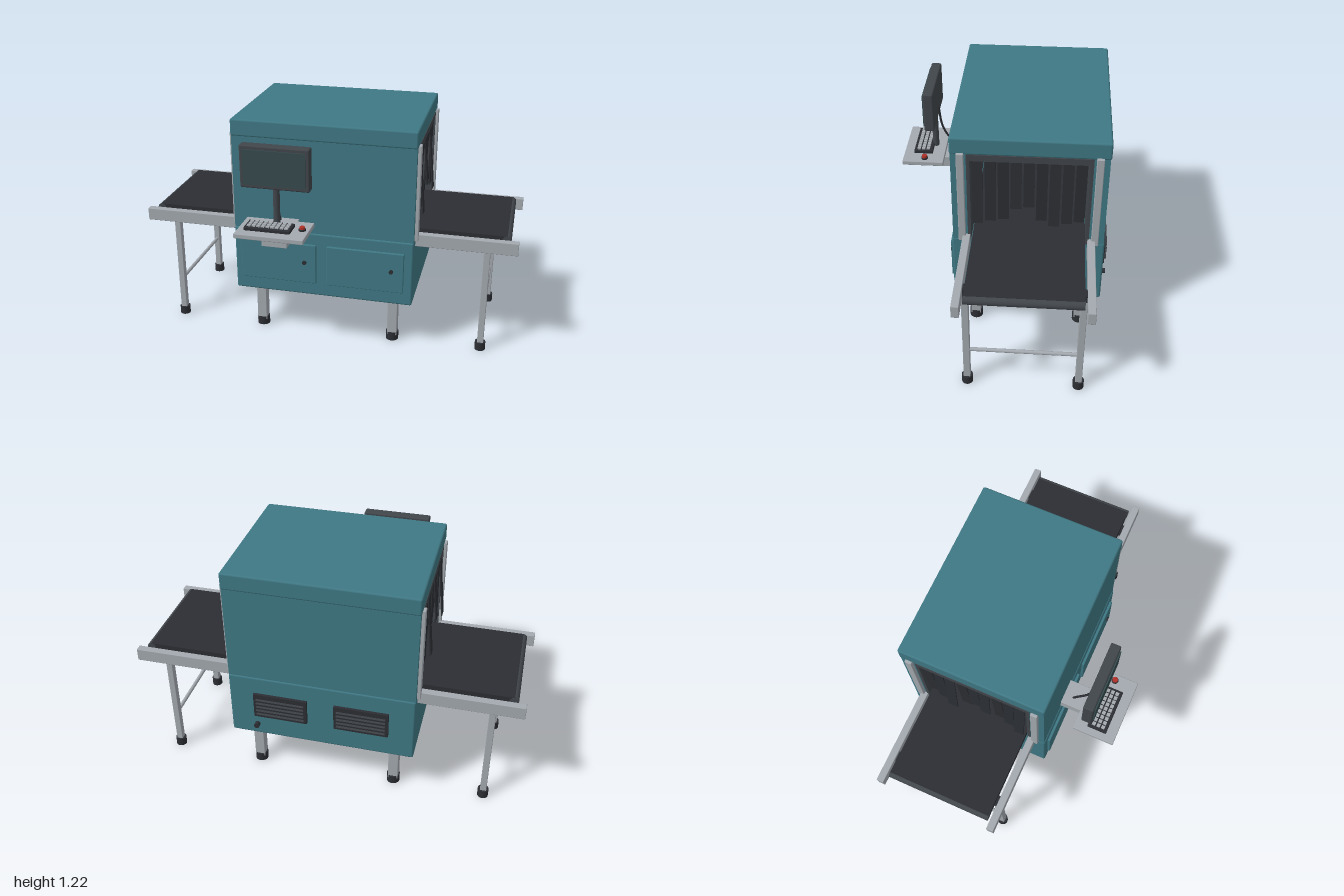
import * as THREE from 'three';
import { RoundedBoxGeometry } from 'three/addons/geometries/RoundedBoxGeometry.js';

const mat = (color) => new THREE.MeshStandardMaterial({ color });

export function createModel() {
  const root = new THREE.Group();
  const teal = mat(0x3f7884), grey = mat(0xa3a9af), dark = mat(0x2b2e33);
  const charcoal = mat(0x41464b), glass = mat(0x35494d), red = mat(0xb03028);

  const add = (name, geo, m, x, y, z, parent = root) => {
    const mesh = new THREE.Mesh(geo, m);
    mesh.name = name;
    mesh.position.set(x, y, z);
    parent.add(mesh);
    return mesh;
  };
  // Box given by its min and max on each axis; r rounds the edges
  const box = (name, m, [x0, x1], [y0, y1], [z0, z1], r = 0, parent = root) => {
    const s = [x1 - x0, y1 - y0, z1 - z0];
    const geo = r ? new RoundedBoxGeometry(...s, 2, r) : new THREE.BoxGeometry(...s);
    return add(name, geo, m, (x0 + x1) / 2, (y0 + y1) / 2, (z0 + z1) / 2, parent);
  };
  // Cylinder lying along z
  const zDisc = (name, m, r, depth, x, y, z) => {
    const d = add(name, new THREE.CylinderGeometry(r, r, depth, 20), m, x, y, z);
    d.rotation.x = Math.PI / 2;
    return d;
  };

  // Cabinet: base, two tunnel walls and roof, leaving the tunnel open along x
  box('baseCabinet', teal, [-0.48, 0.48], [0.265, 0.625], [-0.53, 0.228], 0.01);
  box('frontTunnelWall', teal, [-0.478, 0.478], [0.62, 1.13], [0.145, 0.222]);
  box('backTunnelWall', teal, [-0.478, 0.478], [0.62, 1.13], [-0.525, -0.448]);
  box('roof', teal, [-0.482, 0.482], [1.125, 1.215], [-0.53, 0.226], 0.01);

  // Dark tunnel lining
  box('frontLining', charcoal, [-0.482, 0.482], [0.62, 1.125], [0.131, 0.147]);
  box('backLining', charcoal, [-0.482, 0.482], [0.62, 1.125], [-0.45, -0.434]);
  box('ceilingLining', charcoal, [-0.482, 0.482], [1.092, 1.126], [-0.445, 0.142]);

  // Belt running through the tunnel, with a roller at each end
  box('belt', dark, [-0.94, 0.94], [0.622, 0.668], [-0.43, 0.122]);

  for (const s of [-1, 1]) {
    const end = new THREE.Group();
    end.name = s > 0 ? 'leftEnd' : 'rightEnd';
    root.add(end);
    const span = (a, b) => (s > 0 ? [a, b] : [-b, -a]);

    const roller = add('endRoller', new THREE.CylinderGeometry(0.023, 0.023, 0.555, 20), charcoal, s * 0.938, 0.645, -0.154, end);
    roller.rotation.x = Math.PI / 2;

    // Door posts and conveyor rails
    for (const [a, b] of [[0.157, 0.193], [-0.497, -0.461]])
      box('tunnelPost', grey, span(0.468, 0.496), [0.622, 1.135], [a, b], 0.004, end);
    for (const [a, b] of [[0.135, 0.173], [-0.481, -0.443]])
      box('conveyorRail', grey, span(0.478, 1), [0.587, 0.654], [a, b], 0.003, end);

    // Curtain strips: every third one is pushed outward, two are short
    for (let i = 0; i < 9; i++) {
      const h = i === 3 || i === 4 ? 0.257 : 0.347;
      const geo = new THREE.BoxGeometry(0.006, h, 0.053).translate(0, -h / 2, 0);
      const strip = add('curtainStrip', geo, dark, s * 0.474, 1.093, 0.095 - i * 0.0615, end);
      strip.rotation.z = s * [0.09, 0.02, -0.03][i % 3];
    }

    for (const z of [0.127, -0.43]) {
      // Cabinet leg
      box('cabinetLeg', grey, span(0.342, 0.395), [0.03, 0.275], [z - 0.026, z + 0.026], 0.003, end);
      add('cabinetFoot', new THREE.CylinderGeometry(0.034, 0.034, 0.047, 24), dark, s * 0.368, 0.0235, z, end);
      // Conveyor leg
      box('conveyorLeg', grey, span(0.829, 0.862), [0.03, 0.605], [z - 0.017, z + 0.017], 0.003, end);
      add('conveyorFoot', new THREE.CylinderGeometry(0.028, 0.028, 0.045, 24), dark, s * 0.845, 0.0225, z, end);
      box('legBracket', dark, span(0.82, 0.87), [0.595, 0.635], [z - 0.014, z + 0.014], 0, end);
    }
    const bar = add('legCrossbar', new THREE.CylinderGeometry(0.01, 0.01, 0.54, 12), grey, s * 0.845, 0.225, -0.15, end);
    bar.rotation.x = Math.PI / 2;
  }

  // Front service doors with round locks
  for (const [x0, lockX] of [[-0.44, -0.094], [0.026, 0.37]]) {
    box('serviceDoor', teal, [x0, x0 + 0.408], [0.34, 0.562], [0.222, 0.242], 0.004);
    zDisc('doorLock', dark, 0.011, 0.014, lockX, 0.46, 0.244);
  }

  // Rear vents with slats, and a cable inlet
  for (const x of [-0.21, 0.21]) {
    box('ventPanel', dark, [x - 0.14, x + 0.14], [0.39, 0.53], [-0.545, -0.525]);
    for (let i = 0; i < 5; i++) {
      const slat = box('ventSlat', charcoal, [x - 0.125, x + 0.125], [0.408 + i * 0.0225, 0.415 + i * 0.0225], [-0.554, -0.542]);
      slat.rotation.x = 0.3;
    }
  }
  zDisc('cableInlet', dark, 0.014, 0.03, 0.34, 0.33, -0.54);

  // Operator tray on its bracket
  box('trayBracket', grey, [-0.257, -0.124], [0.635, 0.698], [0.22, 0.455], 0.003);
  box('trayNeck', dark, [-0.215, -0.16], [0.69, 0.715], [0.37, 0.425]);
  box('tray', grey, [-0.367, -0.012], [0.711, 0.736], [0.334, 0.555], 0.004);

  // Keyboard
  box('keyboard', dark, [-0.332, -0.094], [0.734, 0.752], [0.4, 0.502], 0.004);
  for (let r = 0; r < 3; r++)
    for (let c = 0; c < 9; c++) {
      const x = -0.309 + c * 0.024, z = 0.427 + r * 0.025;
      box('key', grey, [x - 0.009, x + 0.009], [0.75, 0.759], [z - 0.009, z + 0.009]);
    }

  // Emergency button
  add('buttonBase', new THREE.CylinderGeometry(0.018, 0.018, 0.01, 20), dark, -0.047, 0.74, 0.438);
  add('emergencyButton', new THREE.CylinderGeometry(0.014, 0.015, 0.012, 20), red, -0.047, 0.75, 0.438);

  // Monitor on its stand
  add('monitorStand', new THREE.CylinderGeometry(0.017, 0.017, 0.27, 16), charcoal, -0.19, 0.835, 0.393);
  box('monitorBody', charcoal, [-0.367, -0.012], [0.93, 1.15], [0.37, 0.423], 0.008);
  box('screen', glass, [-0.348, -0.031], [0.95, 1.13], [0.415, 0.43]);

  // Monitor cable down to the cabinet
  const path = new THREE.CatmullRomCurve3([
    [-0.19, 0.98, 0.37], [-0.2, 0.845, 0.352], [-0.207, 0.71, 0.28], [-0.207, 0.585, 0.226],
  ].map((p) => new THREE.Vector3(...p)));
  add('monitorCable', new THREE.TubeGeometry(path, 32, 0.006, 8), dark, 0, 0, 0);

  return root;
}
